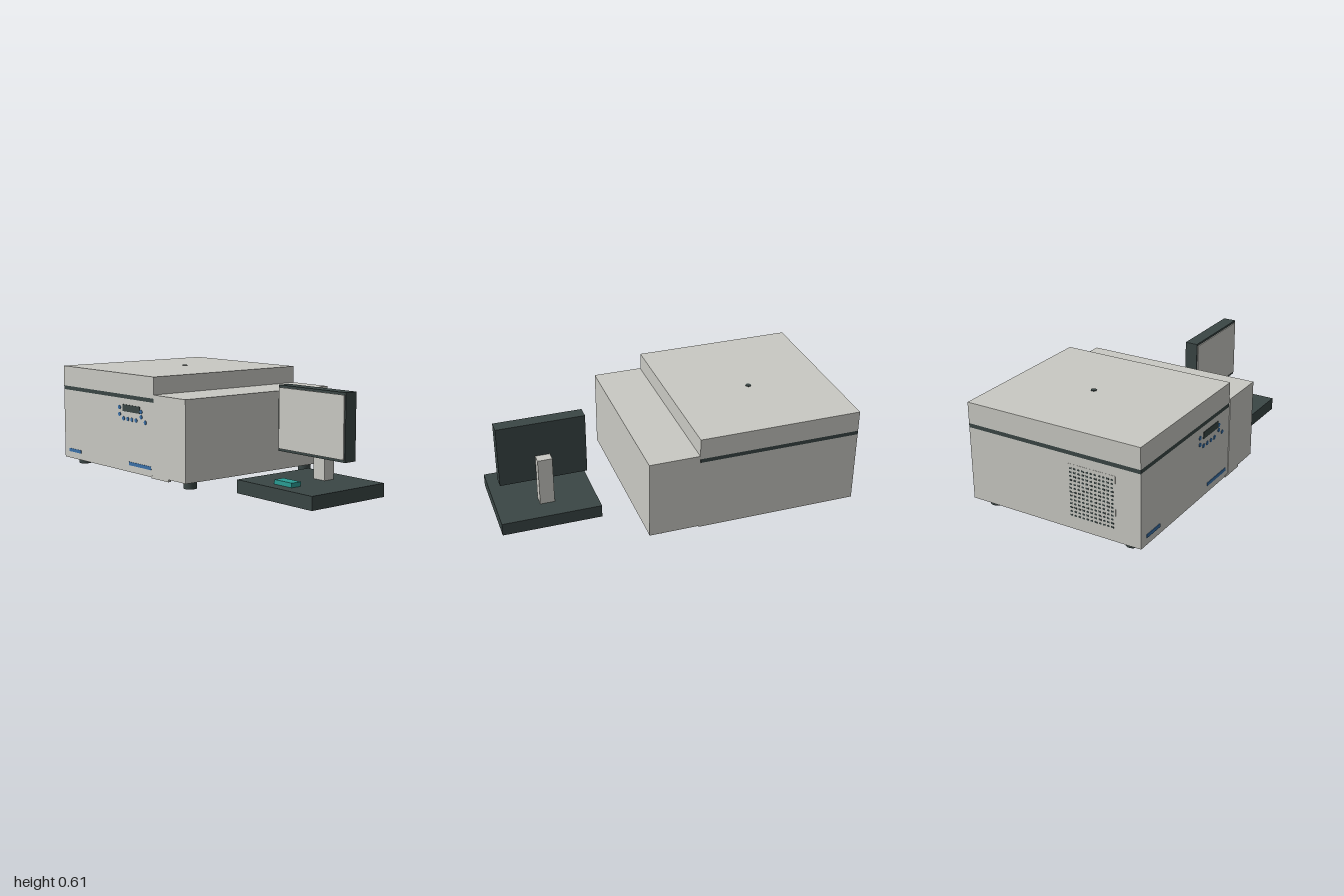
import * as THREE from 'three';

const mat = (name, color) => {
  const m = new THREE.MeshStandardMaterial({ color });
  m.name = name;
  return m;
};

export function createModel() {
  const model = new THREE.Group();
  model.name = 'benchInstrumentWithMonitor';
  const grey = mat('warmGrey', 0xc9c9c3);
  const dark = mat('darkSlate', 0x3a4645);
  const blue = mat('blue', 0x3a70a8);
  const teal = mat('teal', 0x2a9d95);

  const add = (parent, name, geometry, material, x, y, z) => {
    const mesh = new THREE.Mesh(geometry, material);
    mesh.name = name;
    mesh.position.set(x, y, z);
    parent.add(mesh);
    return mesh;
  };
  // Box given by its limits on each axis
  const box = (parent, name, material, [x0, x1], [y0, y1], [z0, z1]) =>
    add(parent, name, new THREE.BoxGeometry(x1 - x0, y1 - y0, z1 - z0), material,
      (x0 + x1) / 2, (y0 + y1) / 2, (z0 + z1) / 2);
  const group = (name) => {
    const g = new THREE.Group();
    g.name = name;
    model.add(g);
    return g;
  };

  // Cabinet with seam, lid and the lower unit beside it
  const cabinet = group('cabinet');
  box(cabinet, 'mainBody', grey, [-0.998, -0.05], [0.04, 0.465], [-0.533, 0.533]);
  box(cabinet, 'lidSeam', dark, [-0.998, -0.055], [0.465, 0.488], [-0.533, 0.533]);
  box(cabinet, 'lid', grey, [-0.998, -0.052], [0.488, 0.61], [-0.533, 0.533]);
  box(cabinet, 'sideUnit', grey, [-0.05, 0.24], [0.05, 0.51], [-0.537, 0.537]);
  box(cabinet, 'frontLip', grey, [-0.08, 0.08], [0.035, 0.05], [0.516, 0.535]);
  add(cabinet, 'lidPort', new THREE.CylinderGeometry(0.016, 0.016, 0.004, 24), dark, -0.525, 0.612, -0.05);

  // Feet
  const footShape = new THREE.CylinderGeometry(0.038, 0.038, 0.048, 32);
  for (const x of [-0.92, 0.15])
    for (const z of [-0.436, 0.436]) add(cabinet, 'foot', footShape, dark, x, 0.024, z);

  // Front controls
  const controls = group('controls');
  box(controls, 'display', dark, [-0.355, -0.185], [0.39, 0.43], [0.533, 0.536]);
  box(controls, 'leftPlate', blue, [-0.945, -0.813], [0.08, 0.1], [0.533, 0.536]);
  box(controls, 'rightPlate', blue, [-0.3, -0.083], [0.08, 0.1], [0.533, 0.536]);
  const buttonShape = new THREE.CylinderGeometry(0.012, 0.012, 0.003, 20).rotateX(Math.PI / 2);
  const buttons = [[-0.39, 0.41], [-0.39, 0.37], [-0.35, 0.348], [-0.308, 0.348], [-0.266, 0.348],
    [-0.225, 0.348], [-0.175, 0.372], [-0.175, 0.402], [-0.135, 0.345]];
  for (const [x, y] of buttons) add(controls, 'button', buttonShape, blue, x, y, 0.5345);

  // Perforated vent on the outer side
  const vent = group('sideVent');
  box(vent, 'ventPanel', grey, [-0.999, -0.997], [0.1, 0.415], [0.095, 0.385]);
  const holeShape = new THREE.BoxGeometry(0.002, 0.009, 0.015);
  for (let row = 0; row < 13; row++)
    for (let col = 0; col < 11; col++)
      add(vent, 'ventHole', holeShape, dark, -0.999, 0.12 + row * 0.0225, 0.115 + col * 0.025);

  // Separate monitor station
  const station = group('monitorStation');
  box(station, 'base', dark, [0.42, 1], [0, 0.075], [-0.21, 0.325]);
  box(station, 'stand', grey, [0.665, 0.75], [0.075, 0.365], [-0.082, -0.012]);
  box(station, 'monitorCase', dark, [0.452, 0.963], [0.208, 0.575], [-0.025, 0.052]);
  box(station, 'screen', grey, [0.46, 0.955], [0.222, 0.562], [0.052, 0.058]);
  box(station, 'sampleHolder', teal, [0.642, 0.777], [0.075, 0.1], [0.19, 0.255]);

  return model;
}
